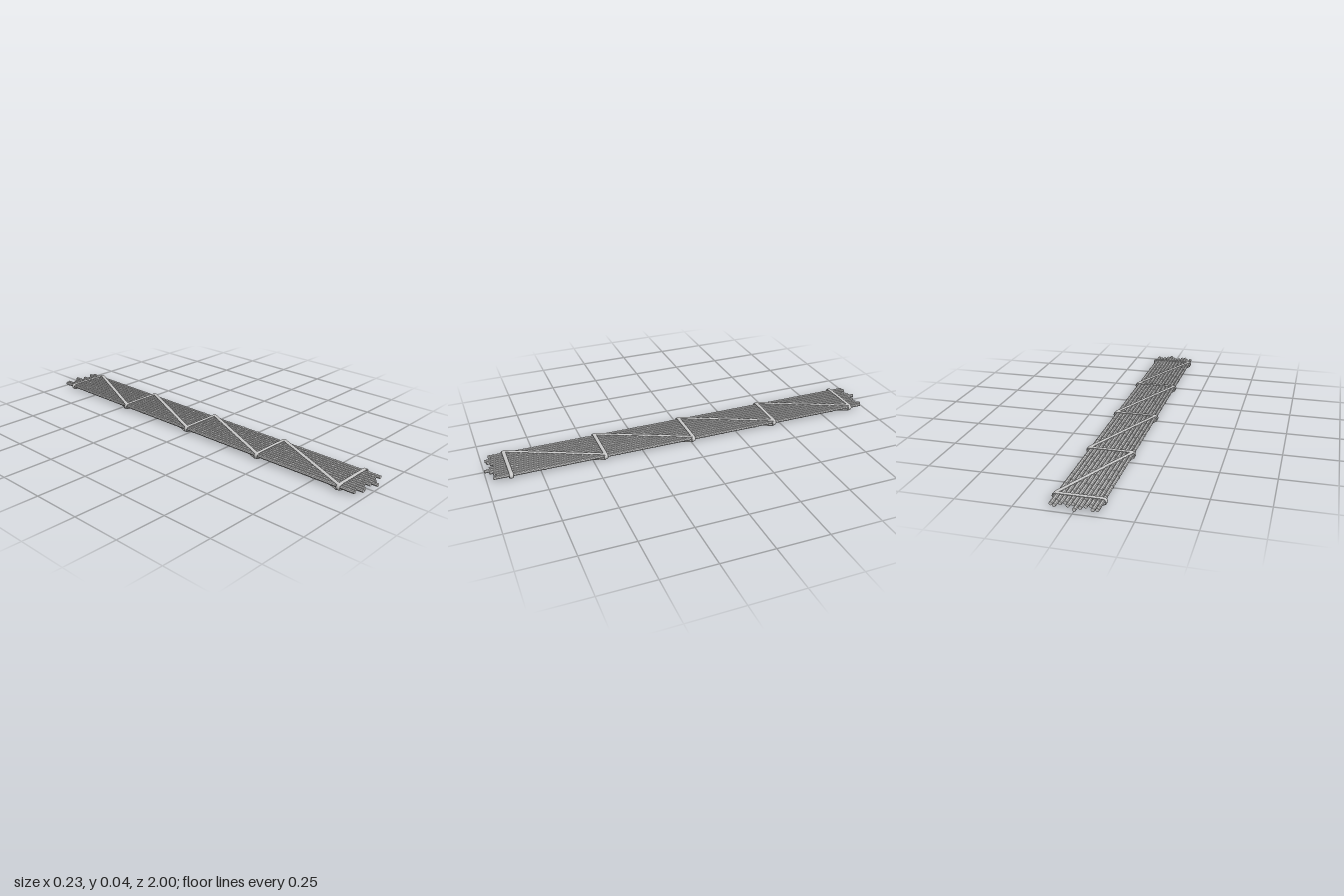
import * as THREE from 'three';
import { toCreasedNormals } from 'three/addons/utils/BufferGeometryUtils.js';

const MID_Y = 0.02;      // height of the pole axes
const PITCH = 0.0176;    // distance between poles
const POLE_R = 0.0082;
const LIP_R = 0.0094;    // raised lip at each cane joint
const BANDS = [-0.905, -0.455, -0.007, 0.442, 0.89];

// Uneven pole ends: [back z, front z], from -x to +x
const ENDS = [
  [-0.98, 0.965], [-0.985, 0.955], [-0.955, 0.985], [-0.965, 0.98],
  [-0.98, 0.965], [-1.0, 0.955], [-0.96, 0.975], [-0.975, 1.0],
  [-0.955, 0.98], [-0.965, 0.965], [-0.985, 0.955], [-0.975, 0.97],
];

const material = new THREE.MeshStandardMaterial({ color: 0xcccccc });

function addMesh(parent, name, geometry) {
  const mesh = new THREE.Mesh(geometry, material);
  mesh.name = name;
  parent.add(mesh);
  return mesh;
}

// Faceted cane pole: each joint steps out sharply, then tapers back
function poleGeometry(z0, z1, phase) {
  const pts = [new THREE.Vector2(0, z0), new THREE.Vector2(POLE_R, z0)];
  for (let z = z0 + 0.02 + phase * 0.08; z < z1 - 0.015; z += 0.09) {
    pts.push(
      new THREE.Vector2(POLE_R, z),
      new THREE.Vector2(LIP_R, z),
      new THREE.Vector2(LIP_R, z + 0.006),
      new THREE.Vector2(POLE_R, z + 0.008),
    );
  }
  pts.push(new THREE.Vector2(POLE_R, z1), new THREE.Vector2(0, z1));
  const geo = toCreasedNormals(new THREE.LatheGeometry(pts, 8), 0.5);
  return geo.rotateX(Math.PI / 2);
}

// Flattened rope loop wrapped around the poles
function bandGeometry() {
  const corners = [
    [0, 0.013], [0.06, 0.0128], [0.1, 0.0122], [0.108, 0.0095], [0.1125, 0],
    [0.108, -0.0095], [0.1, -0.0122], [0.06, -0.0128], [0, -0.013],
  ];
  const loop = corners.concat(corners.slice(1, -1).reverse().map(([x, y]) => [-x, y]));
  const path = new THREE.CatmullRomCurve3(
    loop.map(([x, y]) => new THREE.Vector3(x, y, 0)), true, 'centripetal');
  const geo = new THREE.TubeGeometry(path, 96, 0.0035, 8, true);
  return geo.scale(1, 1, 3);
}

// Flattened rope running slantwise from one band to the next
function diagonalGeometry(zBack, zFront, y, bow) {
  const flat = 0.32;
  const path = new THREE.QuadraticBezierCurve3(
    new THREE.Vector3(0.103, y / flat, zBack),
    new THREE.Vector3(0, (y + bow * 2) / flat, (zBack + zFront) / 2),
    new THREE.Vector3(-0.103, y / flat, zFront));
  return new THREE.TubeGeometry(path, 16, 0.0105, 8).scale(1, flat, 1);
}

export function createModel() {
  const model = new THREE.Group();
  model.name = 'caneRaft';

  // Row of poles
  const poles = new THREE.Group();
  poles.name = 'poles';
  model.add(poles);
  ENDS.forEach(([z0, z1], i) => {
    const pole = addMesh(poles, 'pole', poleGeometry(z0, z1, (i * 0.618) % 1));
    pole.position.set((i - (ENDS.length - 1) / 2) * PITCH, MID_Y, 0);
  });

  // Cross bands
  const lashing = new THREE.Group();
  lashing.name = 'lashing';
  model.add(lashing);
  const band = bandGeometry();
  for (const z of BANDS) {
    addMesh(lashing, 'crossBand', band).position.set(0, MID_Y, z);
  }

  // Diagonal ropes above and below
  for (let i = 0; i < BANDS.length - 1; i++) {
    addMesh(lashing, 'topDiagonal', diagonalGeometry(BANDS[i], BANDS[i + 1], 0.0322, 0.0005));
    addMesh(lashing, 'bottomDiagonal', diagonalGeometry(BANDS[i], BANDS[i + 1], 0.0066, -0.0032));
  }
  return model;
}
